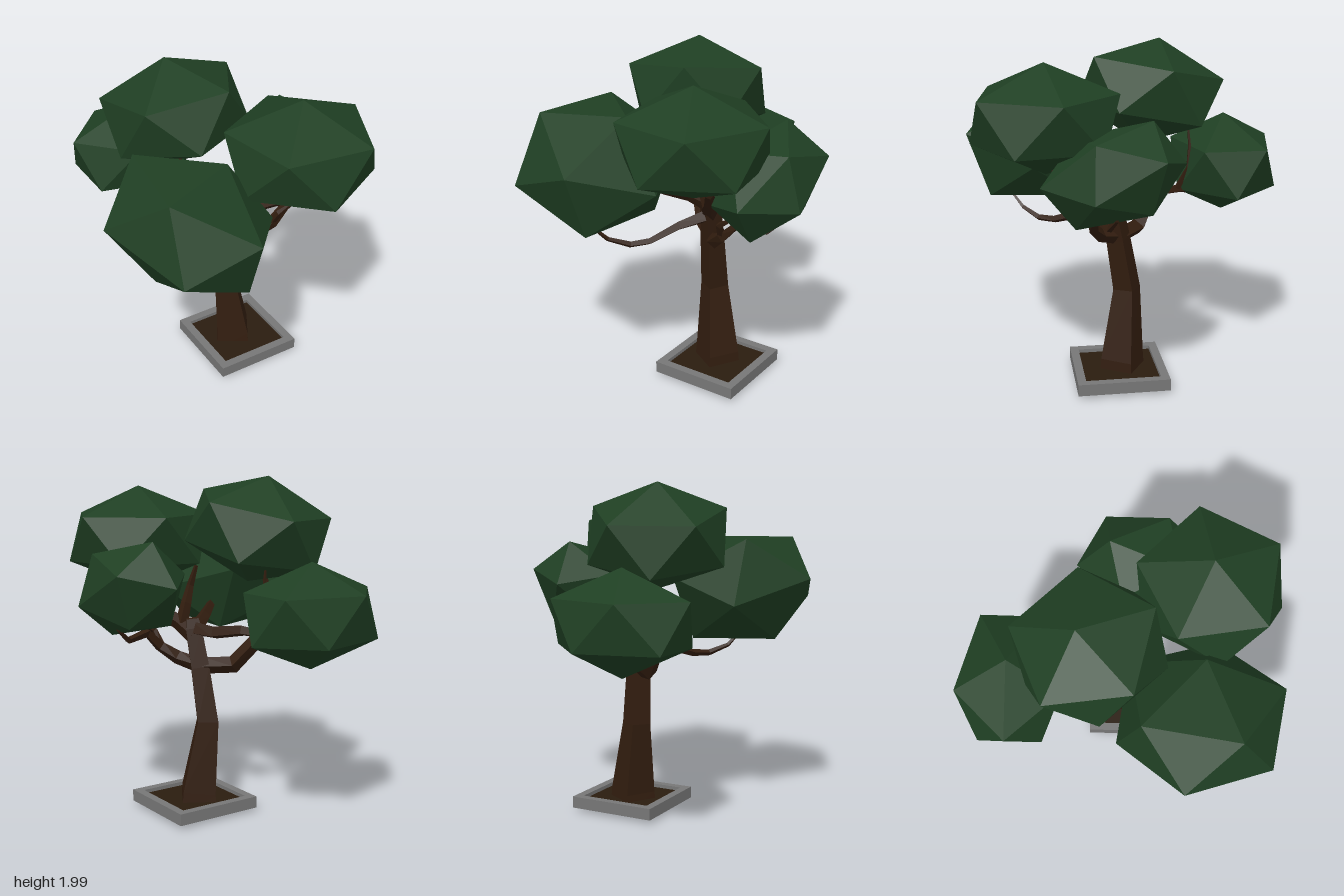
import * as THREE from 'three';

const mat = (color) => new THREE.MeshStandardMaterial({ color, flatShading: true, roughness: 1 });
const bark = mat(0x321d0f), leaf = mat(0x1f3f23), stone = mat(0x777777), soil = mat(0x2a1c0f);
const rad = THREE.MathUtils.degToRad;

// Four-sided tapered limb through points [x, y, z, radius], with closed ends
function limb(name, points, yaw = 45, sides = 4) {
  const c = points.map((p) => new THREE.Vector3(p[0], p[1], p[2]));
  const up = new THREE.Vector3(0, 1, 0), q = new THREE.Quaternion();
  const pos = [], idx = [];
  points.forEach((p, j) => {
    const t = c[Math.min(j + 1, c.length - 1)].clone().sub(c[Math.max(j - 1, 0)]).normalize();
    q.setFromUnitVectors(up, t);
    for (let i = 0; i < sides; i++) {
      const a = rad(yaw) + (i / sides) * Math.PI * 2;
      const v = new THREE.Vector3(Math.cos(a) * p[3], 0, Math.sin(a) * p[3]).applyQuaternion(q).add(c[j]);
      pos.push(v.x, v.y, v.z);
    }
  });
  const last = (points.length - 1) * sides;
  for (let j = 0; j < points.length - 1; j++) {
    for (let i = 0; i < sides; i++) {
      const a = j * sides + i, b = j * sides + ((i + 1) % sides);
      idx.push(a, a + sides, b, b, a + sides, b + sides);
    }
  }
  for (let i = 1; i < sides - 1; i++) {
    idx.push(0, i, i + 1, last, last + i + 1, last + i);
  }
  const g = new THREE.BufferGeometry();
  g.setAttribute('position', new THREE.Float32BufferAttribute(pos, 3));
  g.setIndex(idx);
  g.computeVertexNormals();
  const m = new THREE.Mesh(g, bark);
  m.name = name;
  return m;
}

// Stretched icosahedron standing on a corner or on a face; slant slides its top sideways in x and z
function clump(name, { at, radii, onFace = false, yaw, tilt = 0, roll = 0, slant = [0, 0] }) {
  const g = new THREE.IcosahedronGeometry(1, 0);
  const t = (1 + Math.sqrt(5)) / 2;
  if (onFace) g.rotateX(-Math.atan(t / (2 * t + 1)));
  else g.rotateZ(-Math.atan(1 / t));
  g.rotateY(-rad(yaw)).scale(...radii);
  g.applyMatrix4(new THREE.Matrix4().makeShear(0, 0, slant[0], slant[1], 0, 0));
  g.rotateX(tilt).rotateZ(roll).translate(...at);
  const m = new THREE.Mesh(g, leaf);
  m.name = name;
  return m;
}

export function createModel() {
  const tree = new THREE.Group();
  tree.name = 'tree';

  // Square stone planter: rim, floor and soil
  const planter = new THREE.Group();
  planter.name = 'planter';
  planter.position.set(0.18, 0, 0.05);
  const square = (s) => [[-s, -s], [s, -s], [s, s], [-s, s]].map(([x, y]) => new THREE.Vector2(x, y));
  const rimShape = new THREE.Shape(square(0.27));
  rimShape.holes.push(new THREE.Path(square(0.22)));
  const rim = new THREE.Mesh(
    new THREE.ExtrudeGeometry(rimShape, { depth: 0.07, bevelEnabled: false }).rotateX(-Math.PI / 2), stone);
  rim.name = 'planterRim';
  rim.position.y = 0.022;
  const floor = new THREE.Mesh(new THREE.BoxGeometry(0.45, 0.02, 0.45), stone);
  floor.name = 'planterFloor';
  floor.position.y = 0.032;
  const earth = new THREE.Mesh(new THREE.BoxGeometry(0.445, 0.03, 0.445), soil);
  earth.name = 'soil';
  earth.position.y = 0.055;
  planter.add(rim, floor, earth);
  tree.add(planter);

  // Trunk
  tree.add(limb('trunk', [
    [0.162, 0, 0.025, 0.148], [0.162, 0.12, 0.025, 0.136], [0.118, 0.55, -0.008, 0.086],
    [0.135, 0.87, 0.045, 0.075], [0.15, 1.1, 0.09, 0.065], [0.155, 1.16, 0.095, 0.05],
  ], -14));

  // Branches
  const branches = {
    backLowBranch: [[0.12, 0.88, 0.03, 0.05], [-0.01, 0.89, -0.09, 0.052], [-0.1, 1.02, -0.17, 0.045],
      [-0.16, 1.1, -0.21, 0.036], [-0.12, 1.22, -0.26, 0.027], [-0.15, 1.32, -0.25, 0.02], [-0.13, 1.5, -0.2, 0.012]],
    backLowTwig: [[-0.12, 1.06, -0.19, 0.025], [-0.24, 1.13, -0.17, 0.015], [-0.27, 1.25, -0.1, 0.008]],
    leftBranch: [[0.14, 0.88, 0.04, 0.045], [0.22, 0.92, 0.16, 0.042], [0.31, 0.99, 0.21, 0.035],
      [0.4, 1.08, 0.21, 0.028], [0.56, 1.06, 0.15, 0.02], [0.64, 1.13, 0.12, 0.012], [0.66, 1.25, 0.12, 0.006]],
    leftTwig: [[0.3, 0.98, 0.2, 0.025], [0.32, 1.08, 0.26, 0.02], [0.42, 1.15, 0.28, 0.012], [0.5, 1.25, 0.25, 0.008]],
    frontBranch: [[0.15, 1.05, 0.08, 0.05], [0.2, 1.13, 0.18, 0.045], [0.3, 1.22, 0.32, 0.036],
      [0.36, 1.32, 0.42, 0.025], [0.35, 1.48, 0.46, 0.015]],
    rightBranch: [[0.14, 1.04, 0.08, 0.045], [0.03, 1.0, 0.24, 0.03], [-0.06, 0.94, 0.4, 0.022],
      [-0.13, 0.935, 0.49, 0.019], [-0.22, 0.98, 0.58, 0.013], [-0.28, 1.07, 0.65, 0.008]],
    rightUpperBranch: [[0.14, 1.1, 0.08, 0.045], [0.04, 1.16, 0.14, 0.038], [-0.07, 1.2, 0.24, 0.028], [-0.25, 1.32, 0.38, 0.015]],
    backBranch: [[0.15, 1.1, 0.09, 0.05], [0.1, 1.09, -0.06, 0.042], [0.03, 1.12, -0.24, 0.034],
      [-0.02, 1.11, -0.36, 0.025], [-0.08, 1.07, -0.5, 0.018], [-0.13, 1.13, -0.62, 0.01]],
    backTwig: [[0, 1.12, -0.33, 0.02], [0.02, 1.25, -0.39, 0.014], [0, 1.38, -0.4, 0.01], [-0.02, 1.52, -0.39, 0.006]],
    topBranch: [[0.19, 1.12, 0.16, 0.04], [0.15, 1.24, 0.17, 0.032], [0.1, 1.34, 0.2, 0.022], [0.07, 1.46, 0.18, 0.012]],
  };
  for (const [name, points] of Object.entries(branches)) tree.add(limb(name, points));

  // Foliage
  tree.add(
    clump('frontFoliage', { at: [0.292, 1.62, 0.47], radii: [0.47, 0.31, 0.463], yaw: -10 }),
    clump('backFoliage', { at: [-0.15, 1.24, -0.635], radii: [0.459, 0.3, 0.35], yaw: 180 }),
    clump('topFoliage', { at: [-0.12, 1.69, -0.18], radii: [0.45, 0.312, 0.465], yaw: -78, tilt: -0.19, roll: 0.1 }),
    clump('rightFoliage', {
      at: [-0.38, 1.365, 0.44], radii: [0.465, 0.385, 0.515], onFace: true, yaw: 39, slant: [-0.2, -0.13],
    }),
    clump('leftFoliage', {
      at: [0.55, 1.355, 0.12], radii: [0.3, 0.29, 0.42], onFace: true, yaw: 51, tilt: 0.24, slant: [0.06, -0.1],
    }),
  );
  return tree;
}
